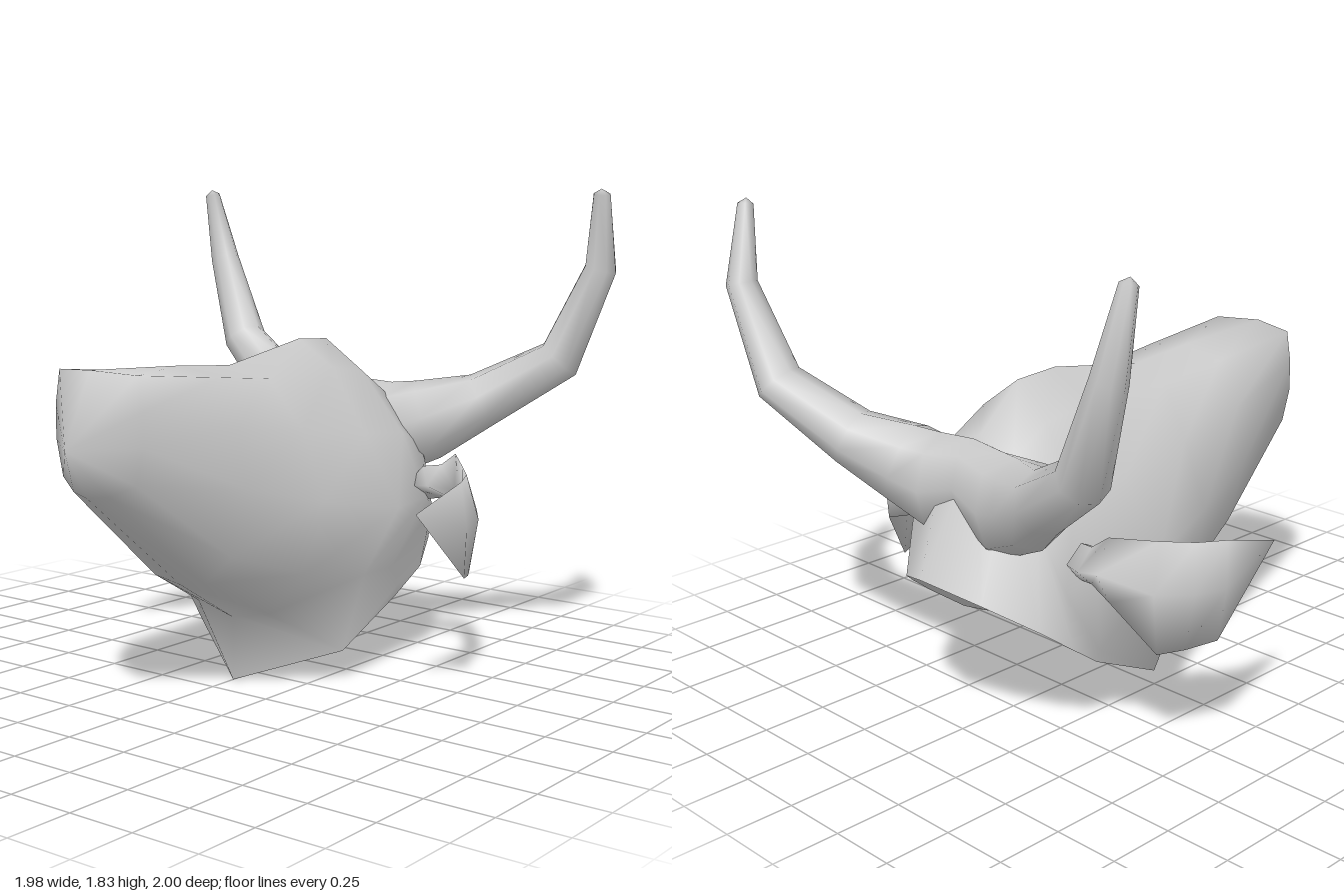
import * as THREE from 'three';
import { mergeVertices } from 'three/addons/utils/BufferGeometryUtils.js';

const material = new THREE.MeshStandardMaterial({ color: 0xcccccc, side: THREE.DoubleSide });

// Skin closed rings of [x, y, z] points; a start or end point closes that side.
function loft(rings, start, end) {
  const n = rings[0].length;
  const points = rings.flat();
  const index = [];
  for (let r = 0; r < rings.length - 1; r++) {
    for (let i = 0; i < n; i++) {
      const a = r * n + i, b = r * n + (i + 1) % n;
      index.push(a, b, a + n, b, b + n, a + n);
    }
  }
  const cap = (point, offset, flip) => {
    if (!point) return;
    const c = points.push(point) - 1;
    for (let i = 0; i < n; i++) {
      const a = offset + i, b = offset + (i + 1) % n;
      index.push(c, flip ? b : a, flip ? a : b);
    }
  };
  cap(start, 0, true);
  cap(end, (rings.length - 1) * n, false);

  // Turn the faces outward according to the signed volume
  const v = i => new THREE.Vector3(...points[index[i]]);
  let volume = 0;
  for (let i = 0; i < index.length; i += 3) volume += v(i).dot(v(i + 1).cross(v(i + 2)));
  if (volume < 0) index.reverse();

  let geometry = new THREE.BufferGeometry();
  geometry.setAttribute('position', new THREE.Float32BufferAttribute(points.flat(), 3));
  geometry.setIndex(index);
  geometry = mergeVertices(geometry, 1e-4);
  geometry.computeVertexNormals();
  return geometry;
}

// Complete a half ring, listed from top centre to bottom centre
const mirrorRing = half => [...half, ...half.slice(1, -1).reverse().map(([x, y, z]) => [-x, y, z])];

const flipX = (p, s) => [p[0] * s, p[1], p[2]];

// Both horns as one sweep, running through the poll from tip to tip
function hornsGeometry() {
  // Centre, radius along z, radius across
  const half = [
    [0.17, 0.88, -0.67, 0.13, 0.19], [0.32, 0.93, -0.70, 0.14, 0.16], [0.50, 1.01, -0.80, 0.11, 0.11],
    [0.78, 1.18, -0.91, 0.09, 0.09], [0.925, 1.53, -0.945, 0.055, 0.065], [0.95, 1.81, -0.89, 0.025, 0.035],
  ];
  const mirrored = half.map(([x, ...rest]) => [-x, ...rest]).reverse();
  const sections = [...mirrored, [0, 0.92, -0.66, 0.11, 0.16], ...half];
  const centres = sections.map(s => new THREE.Vector3(s[0], s[1], s[2]));
  const rings = sections.map((s, i) => {
    const before = centres[Math.max(i - 1, 0)], after = centres[Math.min(i + 1, centres.length - 1)];
    const tangent = after.clone().sub(before).normalize();
    const u = new THREE.Vector3(0, 0, 1).addScaledVector(tangent, -tangent.z).normalize();
    const w = tangent.clone().cross(u);
    return Array.from({ length: 8 }, (_, k) => {
      const a = k / 8 * Math.PI * 2;
      return centres[i].clone().addScaledVector(u, Math.cos(a) * s[3])
        .addScaledVector(w, Math.sin(a) * s[4]).toArray();
    });
  });
  return loft(rings, [-0.95, 1.83, -0.885], [0.95, 1.83, -0.885]);
}

function earGeometry(side) {
  // Each section: top edge, outer surface, lower edge, hollow inner surface
  const rings = [
    [[0.40, 0.77, -0.54], [0.40, 0.71, -0.61], [0.40, 0.64, -0.55], [0.40, 0.71, -0.42]],
    [[0.47, 0.78, -0.56], [0.47, 0.71, -0.63], [0.48, 0.65, -0.57], [0.47, 0.71, -0.46]],
    [[0.54, 0.83, -0.55], [0.55, 0.72, -0.62], [0.58, 0.62, -0.59], [0.57, 0.70, -0.50]],
    [[0.65, 0.81, -0.42], [0.68, 0.64, -0.48], [0.67, 0.41, -0.45], [0.65, 0.63, -0.41]],
    [[0.73, 0.80, -0.32], [0.76, 0.63, -0.36], [0.72, 0.415, -0.36], [0.715, 0.63, -0.31]],
    [[0.775, 0.79, -0.21], [0.79, 0.62, -0.23], [0.77, 0.43, -0.25], [0.755, 0.62, -0.21]],
  ].map(ring => ring.map(p => flipX(p, side)));
  return loft(rings, flipX([0.40, 0.71, -0.54], side), flipX([0.76, 0.71, 0.06], side));
}

export function createModel() {
  const model = new THREE.Group();
  model.name = 'hornedHead';
  const add = (name, geometry) => {
    const mesh = new THREE.Mesh(geometry, material);
    mesh.name = name;
    model.add(mesh);
  };

  // Head, from the muzzle back to the slanted neck cut
  const corner = [0.34, 0.12, -0.10], throat = [0, 0, 0.13];
  const headRings = [
    [[0, 1.23, 0.88], [0.18, 1.22, 0.84], [0.20, 1.10, 0.84], [0.20, 0.98, 0.84], [0.17, 0.85, 0.84], [0.08, 0.81, 0.88], [0, 0.80, 0.90]],
    [[0, 1.21, 0.43], [0.18, 1.18, 0.43], [0.27, 1.01, 0.43], [0.31, 0.80, 0.43], [0.24, 0.55, 0.43], [0.12, 0.44, 0.43], [0, 0.42, 0.43]],
    [[0, 1.19, 0.15], [0.17, 1.15, 0.13], [0.30, 0.97, 0.10], [0.40, 0.72, 0.10], [0.33, 0.45, 0.12], [0.17, 0.28, 0.13], [0, 0.24, 0.13]],
    [[0, 1.26, -0.27], [0.16, 1.16, -0.27], [0.33, 0.92, -0.25], [0.49, 0.66, -0.24], [0.40, 0.41, -0.15], corner, throat],
    [[0, 1.25, -0.45], [0.16, 1.13, -0.47], [0.33, 0.90, -0.50], [0.44, 0.66, -0.50], [0.40, 0.41, -0.33], corner, throat],
    [[0, 1.09, -0.63], [0.17, 1.02, -0.64], [0.32, 0.83, -0.66], [0.40, 0.60, -0.61], [0.37, 0.32, -0.42], corner, throat],
    [[0, 0.63, -0.92], [0.20, 0.56, -0.82], [0.34, 0.46, -0.68], [0.38, 0.37, -0.56], [0.355, 0.27, -0.42], corner, throat],
  ].map(mirrorRing);
  add('head', loft(headRings, [0, 0.97, 1.0]));

  // Shallow dished face closing the neck
  add('neckCut', loft([headRings[headRings.length - 1]], null, [0, 0.40, -0.34]));

  add('horns', hornsGeometry());
  add('leftEar', earGeometry(1));
  add('rightEar', earGeometry(-1));
  return model;
}
